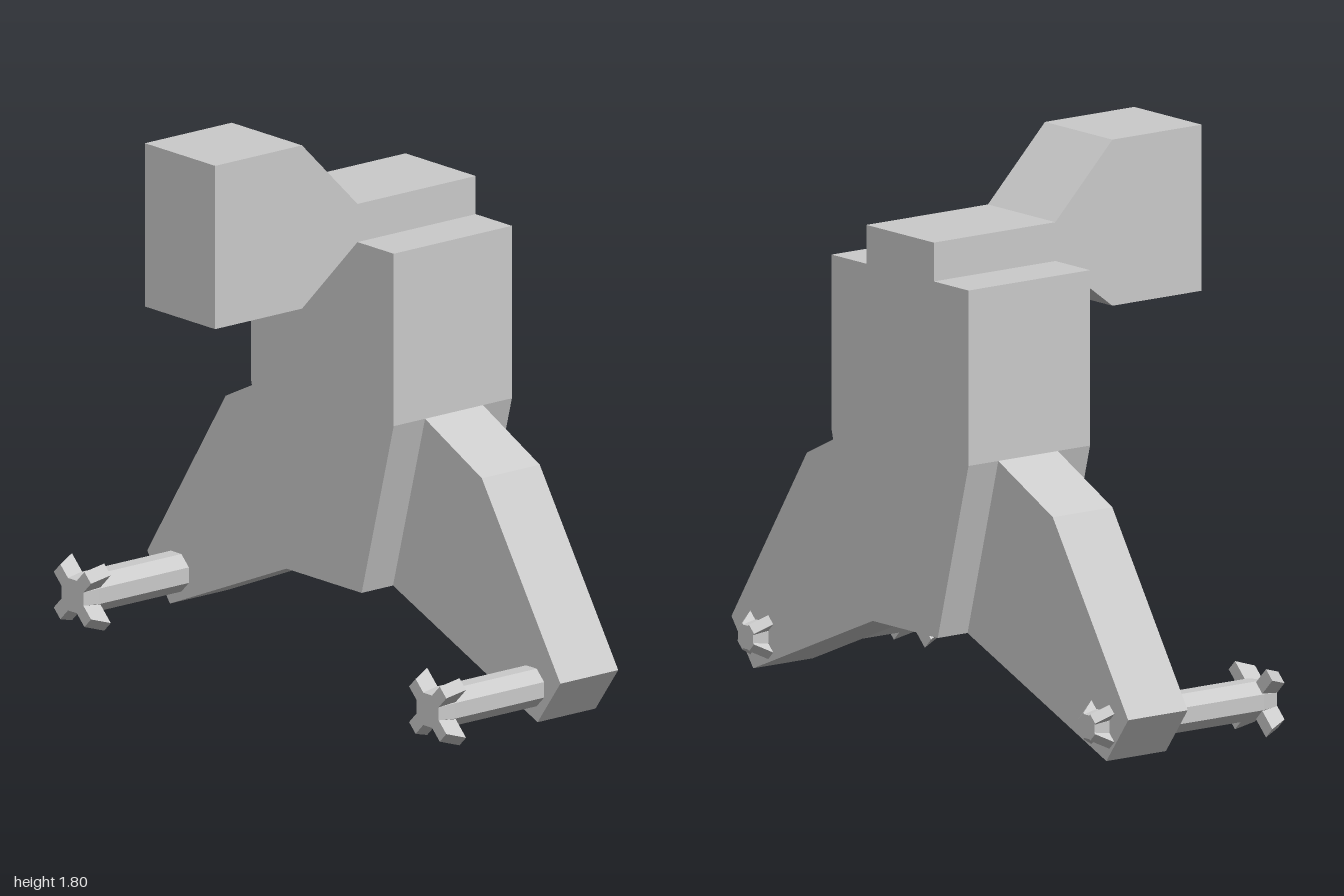
import * as THREE from 'three';

const material = new THREE.MeshStandardMaterial({ color: 0xcccccc, flatShading: true });

// Straight prism from an outline, centred on its depth
function prism(points, depth) {
  const shape = new THREE.Shape(points.map(([x, y]) => new THREE.Vector2(x, y)));
  return new THREE.ExtrudeGeometry(shape, { depth, bevelEnabled: false }).translate(0, 0, -depth / 2);
}

function add(parent, name, geometry) {
  const mesh = new THREE.Mesh(geometry, material);
  mesh.name = name;
  parent.add(mesh);
  return mesh;
}

// Octagonal bar along z, with flats facing the axes; sizes are half-widths across flats
function octagon(front, back, zFront, zBack) {
  const k = 1 / Math.cos(Math.PI / 8);
  return new THREE.CylinderGeometry(front * k, back * k, zFront - zBack, 8)
    .rotateY(Math.PI / 8)
    .rotateX(Math.PI / 2)
    .translate(0, 0, (zFront + zBack) / 2);
}

// Four sloped prongs on the diagonals; profile is [radius, z]
function addProngs(parent, name, profile, width) {
  for (let i = 0; i < 4; i++) {
    const geometry = prism(profile, width).rotateX(Math.PI / 2).rotateZ(Math.PI / 4 + i * Math.PI / 2);
    add(parent, name, geometry);
  }
}

function createGun(name) {
  const gun = new THREE.Group();
  gun.name = name;
  add(gun, 'barrel', octagon(0.0615, 0.0615, 0.19, -0.3));
  add(gun, 'muzzle', octagon(0.053, 0.0615, 0.25, 0.19));
  addProngs(gun, 'muzzleProng', [[0.03, 0.185], [0.133, 0.185], [0.105, 0.25], [0.03, 0.25]], 0.045);
  add(gun, 'rearStub', octagon(0.05, 0.038, -0.4, -0.475));
  addProngs(gun, 'rearFin', [[0.02, -0.475], [0.042, -0.475], [0.082, -0.42], [0.082, -0.4], [0.02, -0.4]], 0.036);
  return gun;
}

export function createModel() {
  const model = new THREE.Group();
  model.name = 'craft';

  // Main hull, tapering to the bottom
  add(model, 'hull', prism([
    [-0.19, 0.295], [0.19, 0.295], [0.345, 0.875], [0.345, 1.44], [-0.345, 1.44], [-0.345, 0.875],
  ], 0.49)).position.z = -0.295;

  // Head block with neck and spine, outlined from the side as [z, y]
  add(model, 'head', prism([
    [0.54, 1.265], [0.54, 1.8], [0.18, 1.8], [-0.05, 1.565],
    [-0.54, 1.565], [-0.54, 1.44], [-0.05, 1.44], [0.18, 1.265],
  ], 0.34).rotateY(-Math.PI / 2));

  // Wings and wing-tip guns
  for (const side of [1, -1]) {
    const label = side > 0 ? 'left' : 'right';
    const outline = [[0.19, 0.295], [0.89, 0], [1, 0.15], [0.62, 0.74], [0.345, 0.875]]
      .map(([x, y]) => [x * side, y]);
    add(model, label + 'Wing', prism(outline, 0.24)).position.z = -0.3;

    const gun = createGun(label + 'Gun');
    gun.position.set(side * 0.86, 0.113, 0);
    model.add(gun);
  }
  return model;
}
